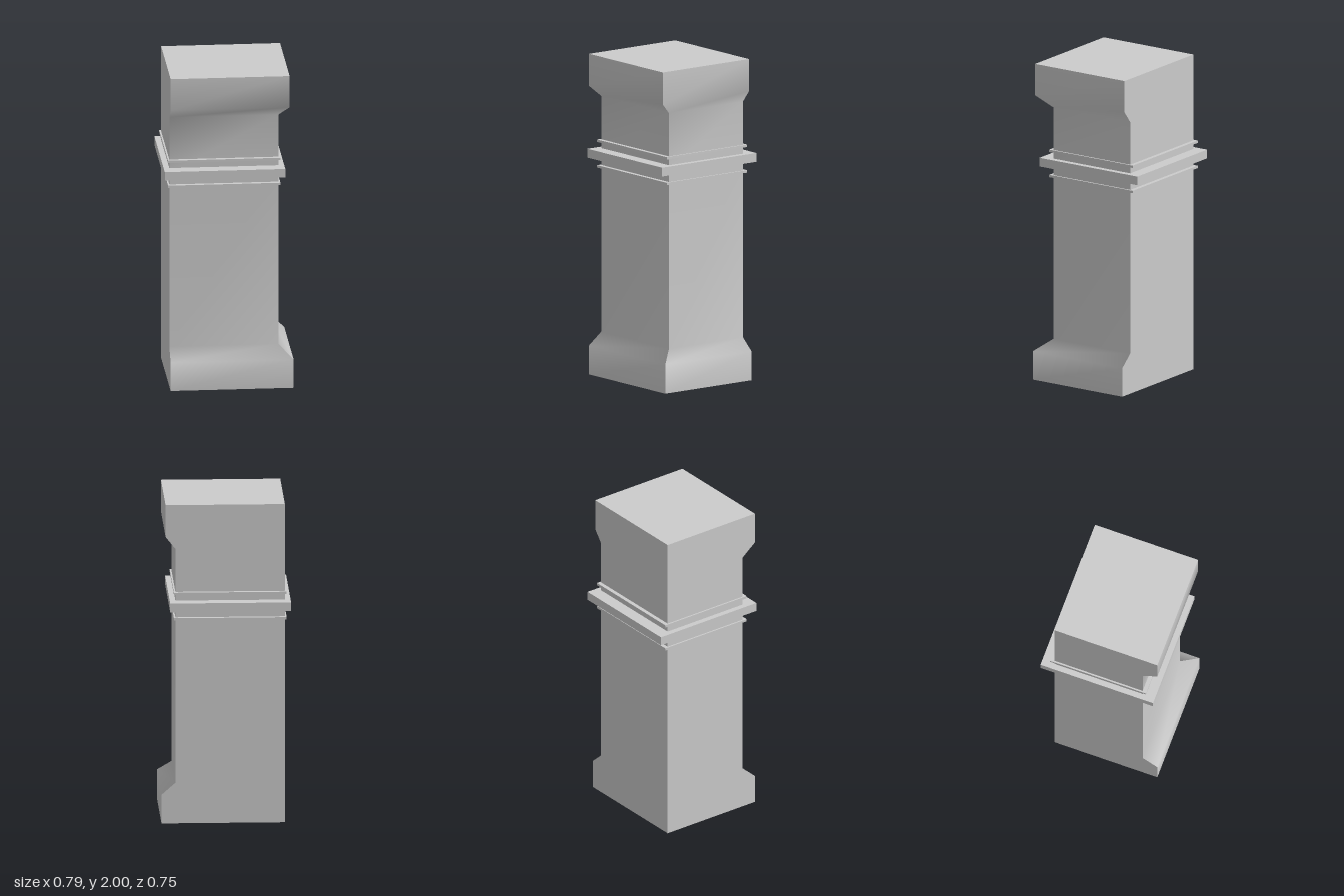
import * as THREE from 'three';

const LEFT_FLAT = -0.36, BACK_FLAT = -0.295;

// Shaft rings: [height, +x extent, +z extent]; only these two sides flare
const RINGS = [
  [0, 0.395, 0.375],
  [0.18, 0.395, 0.375],
  [0.255, 0.31, 0.28],
  [1.37, 0.31, 0.28],
  [1.725, 0.31, 0.28],
  [1.8, 0.37, 0.375],
  [2, 0.37, 0.375],
];

// Ring corners, counter-clockwise seen from above, starting front -x
const corners = ([y, x, z]) => [
  [LEFT_FLAT, y, z], [x, y, z], [x, y, BACK_FLAT], [LEFT_FLAT, y, BACK_FLAT],
];

function surface(positions, index) {
  const geometry = new THREE.BufferGeometry();
  geometry.setAttribute('position', new THREE.Float32BufferAttribute(positions.flat(), 3));
  geometry.setIndex(index);
  geometry.computeVertexNormals();
  return geometry;
}

// One side of the shaft, smooth along its height and sharp at the corners
function sideGeometry(side) {
  const positions = [], index = [];
  RINGS.forEach((ring, i) => {
    const c = corners(ring);
    positions.push(c[side], c[(side + 1) % 4]);
    if (i > 0) {
      const a = 2 * i - 2;
      index.push(a, a + 1, a + 3, a, a + 3, a + 2);
    }
  });
  return surface(positions, index);
}

export function createModel() {
  const model = new THREE.Group();
  model.name = 'pillar';
  const material = new THREE.MeshStandardMaterial({ color: 0xcccccc });
  const add = (parent, geometry, name) => {
    const mesh = new THREE.Mesh(geometry, material);
    mesh.name = name;
    parent.add(mesh);
    return mesh;
  };

  // Shaft with flared foot and head
  const shaft = new THREE.Group();
  shaft.name = 'shaft';
  model.add(shaft);
  ['frontFace', 'leftFace', 'backFace', 'rightFace'].forEach((name, side) =>
    add(shaft, sideGeometry(side), name));
  add(shaft, surface(corners(RINGS[RINGS.length - 1]), [0, 1, 2, 0, 2, 3]), 'topFace');
  add(shaft, surface(corners(RINGS[0]), [0, 2, 1, 0, 3, 2]), 'bottomFace');

  // Collar bands: name, x range, y range, z range
  const bands = [
    ['lowerBand', -0.37, 0.32, 1.28, 1.295, -0.32, 0.305],
    ['middleBand', -0.395, 0.345, 1.345, 1.4, -0.373, 0.36],
    ['upperBand', -0.37, 0.32, 1.44, 1.455, -0.32, 0.305],
  ];
  for (const [name, x0, x1, y0, y1, z0, z1] of bands) {
    const band = add(model, new THREE.BoxGeometry(x1 - x0, y1 - y0, z1 - z0), name);
    band.position.set((x0 + x1) / 2, (y0 + y1) / 2, (z0 + z1) / 2);
  }
  return model;
}
